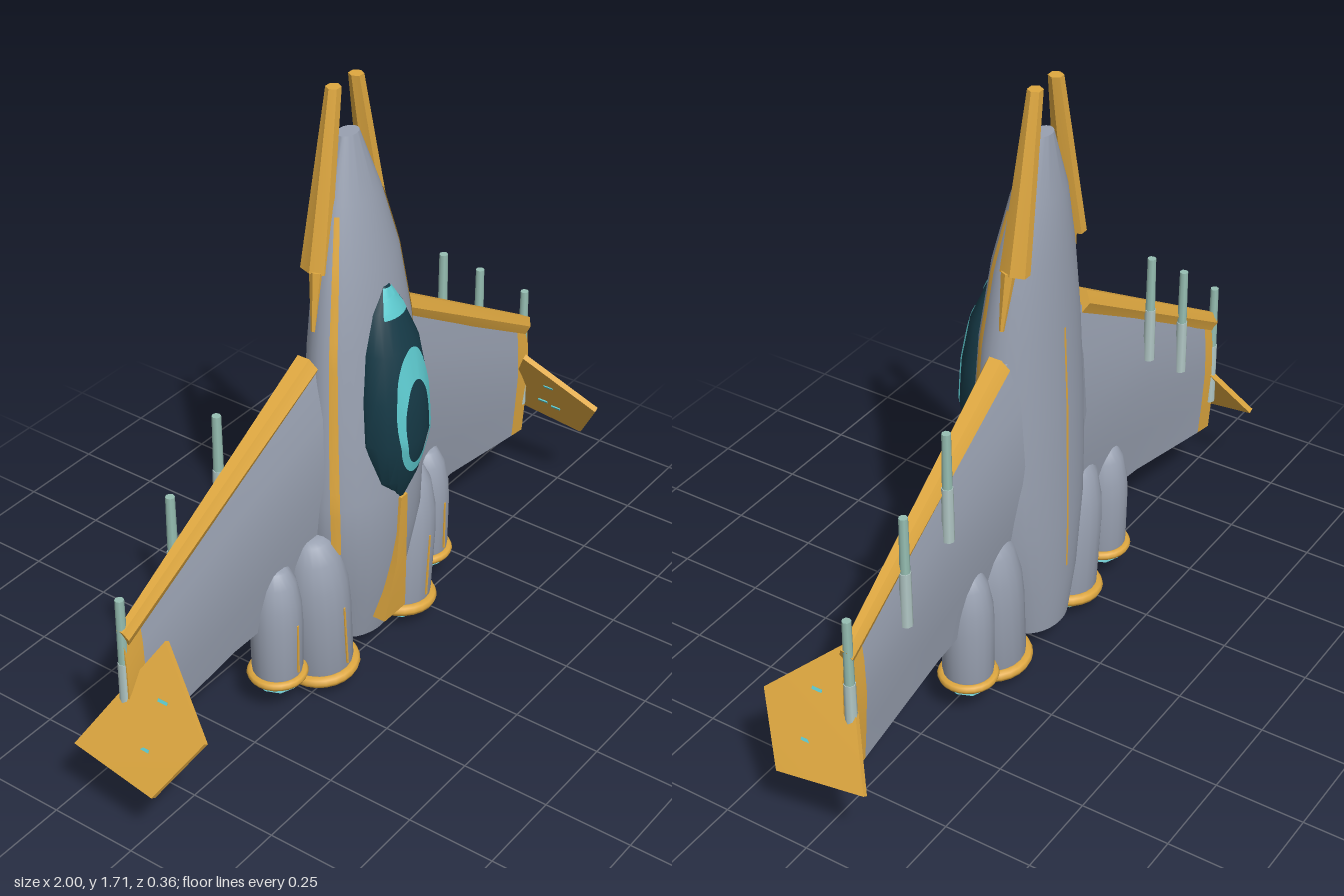
import * as THREE from 'three';
import { toCreasedNormals } from 'three/addons/utils/BufferGeometryUtils.js';

const mat = (name, color, side = THREE.FrontSide) => {
  const m = new THREE.MeshStandardMaterial({ color, side });
  m.name = name;
  return m;
};
const hull = mat('hull grey', 0x99a1b1);
const trim = mat('amber trim', 0xdfa840, THREE.DoubleSide);
const glass = mat('dark glass', 0x163a47);
const glow = mat('cyan glow', 0x5ecbd0, THREE.DoubleSide);
const nozzleTeal = mat('nozzle teal', 0x57b4ba);
const barrelMetal = mat('barrel green grey', 0x97bfb3);
const breechMetal = mat('pale breech metal', 0xb2c8c6);

// Skin a stack of equal-length rings; caps close both ends
function loft(rings, crease = 0.6, closed = true) {
  const n = rings[0].length, pos = [], idx = [];
  rings.forEach(r => r.forEach(p => pos.push(...p)));
  for (let k = 0; k < rings.length - 1; k++)
    for (let i = 0; i < (closed ? n : n - 1); i++) {
      const a = k * n + i, b = k * n + (i + 1) % n;
      idx.push(a, a + n, b, b, a + n, b + n);
    }
  if (closed) {
    const last = (rings.length - 1) * n;
    for (let i = 1; i < n - 1; i++) idx.push(0, i, i + 1, last, last + i + 1, last + i);
  }
  const g = new THREE.BufferGeometry();
  g.setAttribute('position', new THREE.Float32BufferAttribute(pos, 3));
  g.setIndex(idx);
  return toCreasedNormals(g.toNonIndexed(), crease);
}

// Mirror a geometry across x = 0, keeping faces outward
function mirror(geo) {
  const g = geo.index ? geo.toNonIndexed() : geo.clone();
  for (const key of ['position', 'normal']) {
    const a = g.attributes[key], src = a.array.slice();
    for (let i = 0; i < a.count; i++) {
      const j = i % 3 === 0 ? i : i % 3 === 1 ? i + 1 : i - 1;
      a.setXYZ(i, -src[j * 3], src[j * 3 + 1], src[j * 3 + 2]);
    }
  }
  return g;
}

// Body sections: [y, half width, front z, back z]
const bodySections = [
  [0.1, 0.11, 0.05, -0.12], [0.25, 0.15, 0.085, -0.135], [0.45, 0.2, 0.115, -0.137],
  [0.6, 0.208, 0.118, -0.135], [0.8, 0.195, 0.1, -0.132], [1.04, 0.18, 0.082, -0.122],
  [1.25, 0.143, 0.055, -0.115], [1.42, 0.098, 0.015, -0.105], [1.585, 0.035, -0.03, -0.08],
];
const canopySections = [
  [0.57, 0.025, 0.12, 0.04], [0.64, 0.08, 0.146, 0.03], [0.77, 0.115, 0.172, 0.0],
  [0.9, 0.112, 0.163, 0.0], [1.03, 0.095, 0.139, 0.0], [1.13, 0.062, 0.095, 0.01], [1.19, 0.02, 0.068, 0.02],
];
function sectionAt(secs, y) {
  let k = 0;
  while (k < secs.length - 2 && y > secs[k + 1][0]) k++;
  const t = (y - secs[k][0]) / (secs[k + 1][0] - secs[k][0]);
  return secs[k].map((v, i) => v + (secs[k + 1][i] - v) * t);
}
function arc([y, w, zf, zb], a0, a1, n, lift = 0) {
  return Array.from({ length: n }, (_, i) => {
    const a = a0 + (a1 - a0) * i / (n - 1);
    return [(w + lift) * Math.cos(a), y, (zf + zb) / 2 + ((zf - zb) / 2 + lift) * Math.sin(a)];
  });
}
const oval = (s, n) => arc(s, 0, Math.PI * 2 * (n - 1) / n, n);
// Thin painted band lying on a sectioned skin
function band(secs, angle, half, y0, y1) {
  const rows = Array.from({ length: 25 }, (_, i) => y0 + (y1 - y0) * i / 24);
  return loft(rows.map(y => arc(sectionAt(secs, y), angle - half, angle + half, 7, 0.003)), 1, false);
}
const rect = (y, cx, hx, cz, hz) =>
  [[cx + hx, y, cz - hz], [cx + hx, y, cz + hz], [cx - hx, y, cz + hz], [cx - hx, y, cz - hz]];

export function createModel() {
  const model = new THREE.Group();
  model.name = 'spacecraft';
  const add = (name, geo, material, parent = model) => {
    const m = new THREE.Mesh(geo, material);
    m.name = name;
    parent.add(m);
  };
  const pair = (name, geo, material) => {
    add(name + 'Left', geo, material);
    add(name + 'Right', mirror(geo), material);
  };

  // Fuselage with side and spine stripes
  add('fuselage', loft(bodySections.map(s => oval(s, 32)), 0.7), hull);
  pair('sideStripe', band(bodySections, 0.4, 0.09, 0.45, 1.4), trim);
  add('spineStripe', band(bodySections, -Math.PI / 2, 0.022, 0.3, 1.05), trim);

  // Canopy with cyan markings
  add('canopy', loft(canopySections.map(s => oval(s, 20)), 0.5), glass);
  add('canopyCap', band(canopySections, Math.PI / 2, 0.75, 1.115, 1.188), glow);
  const onGlass = (rx, ry, cy) => Array.from({ length: 41 }, (_, i) => {
    const a = i / 40 * Math.PI * 2, x = rx * Math.cos(a), y = cy + ry * Math.sin(a);
    const [, w, zf, zb] = sectionAt(canopySections, y);
    return [x, y, (zf + zb) / 2 + (zf - zb) / 2 * Math.sqrt(Math.max(0, 1 - (x / w) ** 2)) + 0.004];
  });
  add('canopyOval', loft([onGlass(0.05, 0.125, 0.82), onGlass(0.073, 0.185, 0.85)], 1, false), glow);

  // Ventral keel
  add('keel', loft([rect(0.165, 0, 0.048, 0.055, 0.042), rect(0.36, 0, 0.022, 0.07, 0.048),
    rect(0.57, 0, 0.014, 0.075, 0.05)], 0.3), trim);

  // Nose prongs: six-sided blades with a thin spike below each
  const hexStack = stack => loft(stack.map(([y, cx, hx, cz, hz]) =>
    oval([y, hx, cz + hz, cz - hz], 6).map(([x, py, z]) => [x + cx, py, z])), 0.3);
  pair('noseProng', hexStack([[1.255, 0.132, 0.025, -0.06, 0.043], [1.72, 0.046, 0.02, -0.063, 0.02]]), trim);
  pair('prongSpike', hexStack([[1.1, 0.166, 0.006, -0.042, 0.007], [1.26, 0.142, 0.016, -0.048, 0.02]]), trim);

  // Wings: airfoil sections [x, leading y, trailing y, centre z, half thickness]
  const airfoil = [[0, 0.08], [0.25, 0.55], [0.55, 1], [0.8, 0.8], [1, 0.3]];
  const wingRing = ([x, le, te, z, h]) => {
    const side = s => airfoil.map(([t, f]) => [x, te + (le - te) * t, z + s * h * f]);
    return [...side(1), ...side(-1).reverse()];
  };
  const root = [0.15, 1.02, 0.31, -0.042, 0.06], mid = [0.5, 0.82, 0.285, -0.06, 0.036];
  const panel = [0.84, 0.615, 0.22, -0.074, 0.016], tip = [0.9, 0.58, 0.21, -0.076, 0.014];
  pair('wing', loft([root, mid, panel].map(wingRing)), hull);
  pair('wingTipPanel', loft([panel, tip].map(wingRing)), trim);

  // Leading-edge bars
  const barRing = (x, y, z, hy, hz) => Array.from({ length: 6 }, (_, i) => {
    const a = i * Math.PI / 3;
    return [x + 0.4 * hy * Math.sin(a), y + hy * Math.sin(a), z + hz * Math.cos(a)];
  });
  pair('leadingEdge', loft([barRing(0.19, 1.01, -0.047, 0.034, 0.036),
    barRing(0.895, 0.582, -0.075, 0.028, 0.019)], 0.3), trim);

  // Canted wing-tip fins with small cyan dashes on both faces
  const finOutline = [[0.98, 0.255, -0.178], [0.992, 0.22, 0.08], [0.9, 0.378, 0.178], [0.803, 0.54, -0.016]];
  const finRing = d => finOutline.map(([x, y, z]) => [x + 0.857 * d, y + 0.514 * d, z]);
  pair('tipFin', loft([finRing(-0.008), finRing(0.008)], 0.3), trim);
  for (const [y, z] of [[0.31, 0.02], [0.325, -0.02], [0.42, 0.03]])
    for (const d of [-0.008, 0.008])
      pair('finDash', new THREE.BoxGeometry(0.004, 0.008, 0.03).rotateZ(0.54)
        .translate(0.803 + (0.54 - y) * 0.6 + 0.857 * d, y + 0.514 * d, z), glow);

  // Wing guns: [x, bottom y, top y, z]
  for (const [x, y0, y1, z] of [[0.49, 0.68, 1.0, -0.095], [0.675, 0.54, 0.865, -0.095], [0.893, 0.31, 0.695, -0.08]]) {
    const h = (y1 - y0) / 2;
    pair('gunBarrel', new THREE.CylinderGeometry(0.012, 0.0135, h, 8).translate(x, y1 - h / 2, z), barrelMetal);
    pair('gunBreech', new THREE.CylinderGeometry(0.0155, 0.0165, h, 8).translate(x, y0 + h / 2, z), breechMetal);
  }

  // Engines: [name, x, bottom y, z, radius, height, tilt]
  for (const [name, x, y, z, r, h, tilt] of [
    ['innerEngine', 0.183, 0.07, -0.02, 0.093, 0.435, 0.07], ['outerEngine', 0.34, 0.125, -0.045, 0.071, 0.345, 0]]) {
    const lathe = (pts, n) => new THREE.LatheGeometry(pts.map(p => new THREE.Vector2(p[0] * r, p[1])), n);
    const pod = toCreasedNormals(lathe([[0, -0.01], [0.88, -0.01], [0.97, 0.02], [1, h * 0.5], [0.96, h * 0.68],
      [0.78, h * 0.87], [0.5, h * 0.98], [0.35, h], [0, h]], 20).toNonIndexed(), 0.6);
    const flame = toCreasedNormals(lathe([[0, -0.064], [0.8, -0.036], [0.35, -0.008], [0, -0.008]], 8).toNonIndexed(), 0.2);
    for (const s of [1, -1]) {
      const engine = new THREE.Group();
      engine.name = name + (s > 0 ? 'Left' : 'Right');
      engine.position.set(s * x, y, z);
      engine.rotation.z = -s * tilt;
      add('pod', pod, hull, engine);
      add('nozzle', flame, nozzleTeal, engine);
      add('nozzleRing', new THREE.TorusGeometry(r * 0.99, r * 0.18, 8, 24).rotateX(Math.PI / 2), trim, engine);
      add('podStripe', new THREE.BoxGeometry(0.006, h * 0.45, 0.004).translate(0, h * 0.3, r), trim, engine);
      model.add(engine);
    }
  }
  return model;
}
